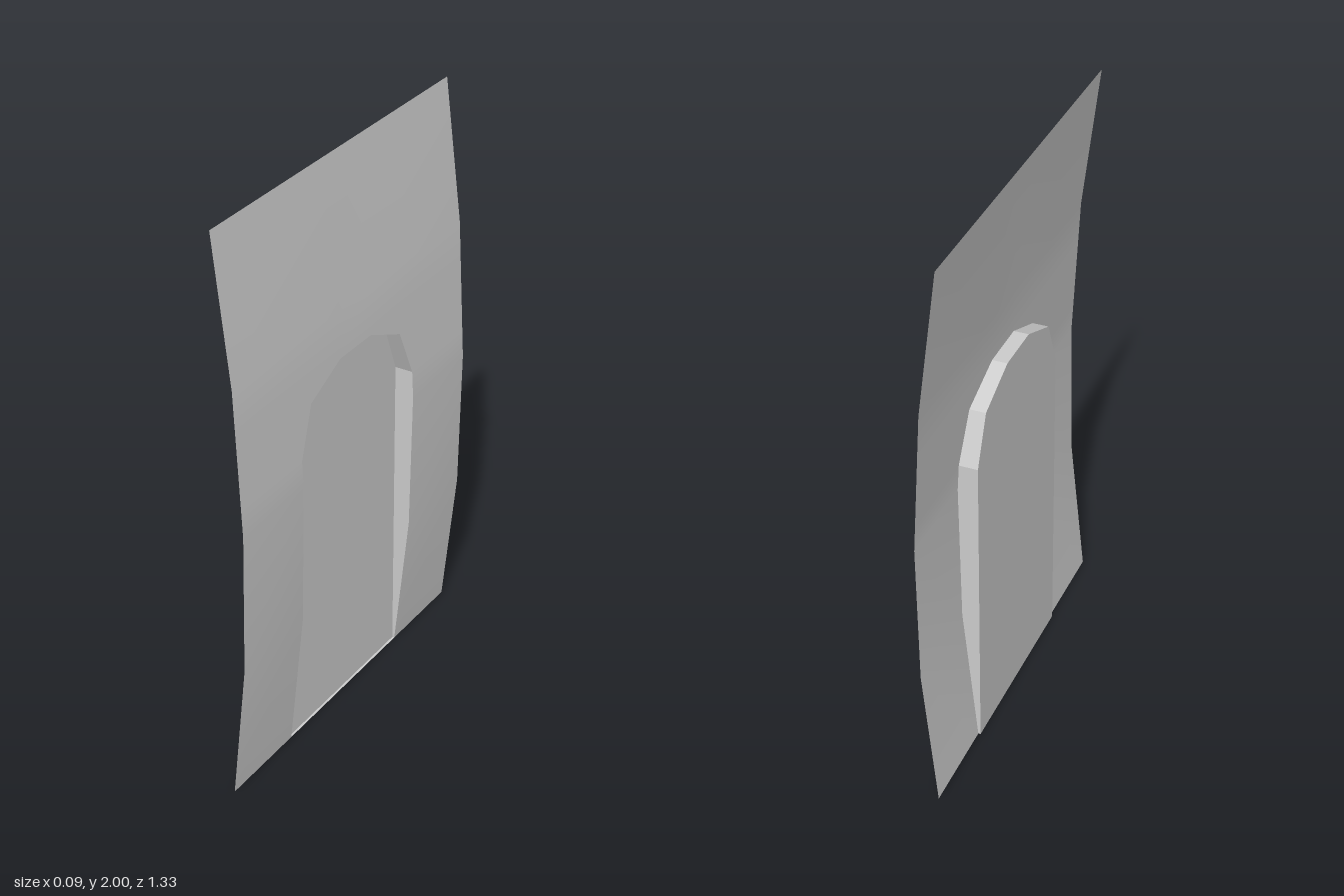
import * as THREE from 'three';
import { mergeVertices } from 'three/addons/utils/BufferGeometryUtils.js';

const HALF = 0.667;      // half width of the sheet along z
const PANEL_X = -0.028;  // plane of the recessed panel

// Bowed profile of the sheet: x at y = 0, 0.5, 1, 1.5, 2
const BOW = [-0.02, 0.032, 0.041, 0.015, -0.046];
function bowX(y) {
  const i = Math.min(3, Math.floor(y * 2));
  return THREE.MathUtils.lerp(BOW[i], BOW[i + 1], y * 2 - i);
}

// Half of the arched opening, from the floor up: [half width, y]
const ARCH = [[0.333, 0], [0.333, 0.5], [0.333, 1], [0.333, 1.095], [0.265, 1.265], [0.09, 1.34]];

// Indexed geometry from a list of four-cornered faces
function quads(list) {
  const pos = [];
  for (const [a, b, c, d] of list) pos.push(...a, ...b, ...c, ...a, ...c, ...d);
  const g = new THREE.BufferGeometry();
  g.setAttribute('position', new THREE.Float32BufferAttribute(pos, 3));
  const merged = mergeVertices(g, 1e-5);
  merged.computeVertexNormals();
  return merged;
}

function addMesh(group, name, geometry, flatShading) {
  const material = new THREE.MeshStandardMaterial({ color: 0xcccccc, side: THREE.DoubleSide, flatShading });
  const mesh = new THREE.Mesh(geometry, material);
  mesh.name = name;
  group.add(mesh);
}

export function createModel() {
  const group = new THREE.Group();
  group.name = 'archedWallPanel';
  const onSheet = (z, y) => [bowX(y), y, z];

  // Bowed sheet: strips on both sides of the opening, full rows above it
  const faces = [];
  const strip = (y0, y1, a0, b0, a1, b1) =>
    faces.push([onSheet(b0, y0), onSheet(a0, y0), onSheet(a1, y1), onSheet(b1, y1)]);
  for (let i = 0; i < ARCH.length - 1; i++) {
    const [w0, y0] = ARCH[i], [w1, y1] = ARCH[i + 1];
    strip(y0, y1, w0, HALF, w1, HALF);
    strip(y0, y1, -HALF, -w0, -HALF, -w1);
  }
  const top = ARCH[ARCH.length - 1];
  const cuts = [-HALF, -top[0], top[0], HALF];
  for (const [y0, y1] of [[top[1], 1.5], [1.5, 2]])
    for (let i = 0; i < 3; i++) strip(y0, y1, cuts[i], cuts[i + 1], cuts[i], cuts[i + 1]);
  addMesh(group, 'bowedSheet', quads(faces), false);

  // Reveal around the opening, from the flat panel out to the sheet
  const outline = [...ARCH, ...ARCH.map(([w, y]) => [-w, y]).reverse()];
  const reveal = outline.map(([z0, y0], i) => {
    const [z1, y1] = outline[(i + 1) % outline.length];
    return [[PANEL_X, y0, z0], [PANEL_X, y1, z1], onSheet(z1, y1), onSheet(z0, y0)];
  });
  addMesh(group, 'archReveal', quads(reveal), true);

  // Flat arched panel at the back of the recess
  const shape = new THREE.Shape(outline.map(([z, y]) => new THREE.Vector2(z, y)));
  const panel = new THREE.ShapeGeometry(shape).rotateY(Math.PI / 2).translate(PANEL_X, 0, 0);
  addMesh(group, 'recessedPanel', panel, true);

  return group;
}
